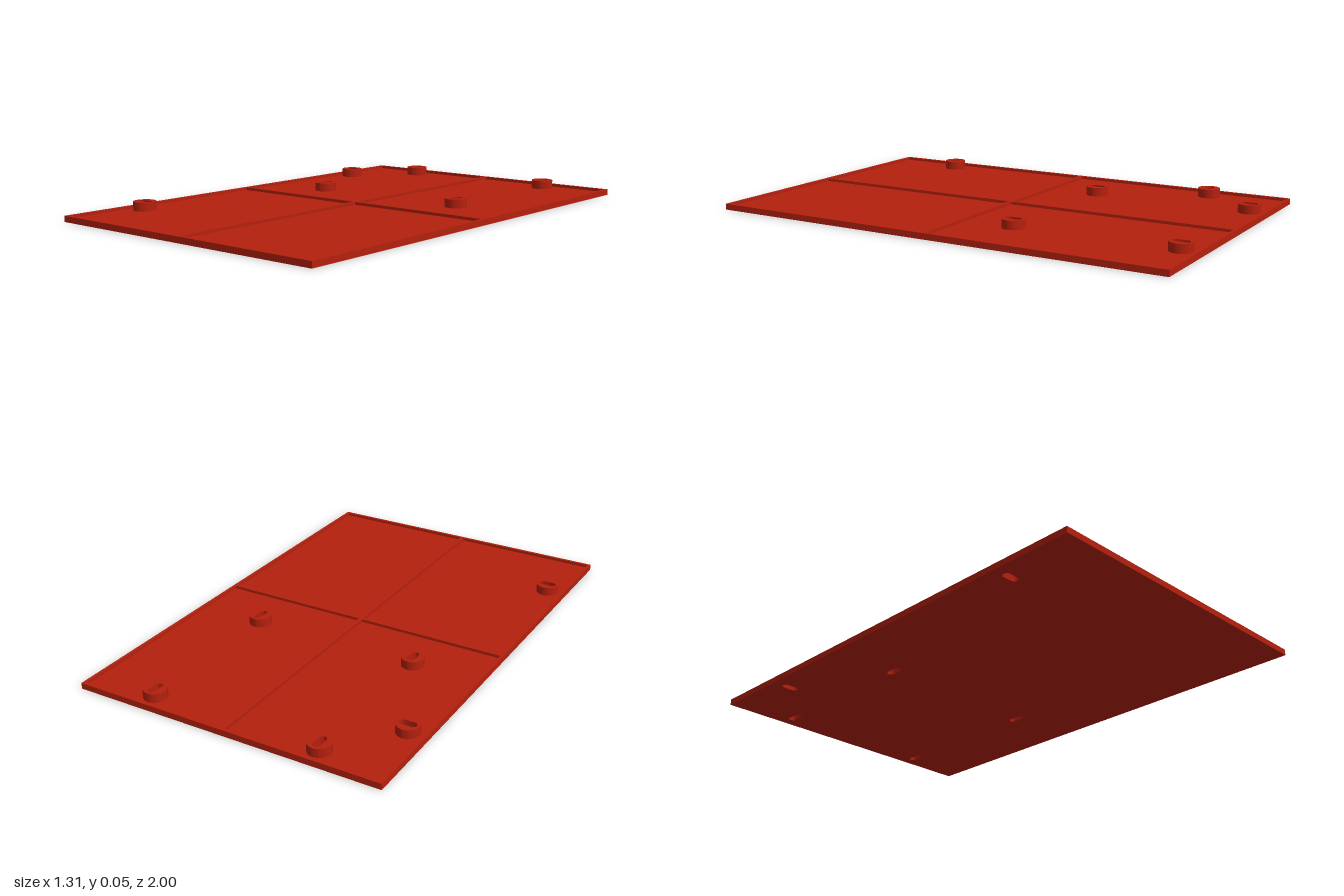
import * as THREE from 'three';
import { toCreasedNormals } from 'three/addons/utils/BufferGeometryUtils.js';

const W = 1.31, L = 2, FLOOR = 0.013, RIM_TOP = 0.025, BOSS_TOP = 0.05;
const RIM = 0.013, RIB = 0.016, BOSS_R = 0.047;

// Mounting points: x, z, and whether the slot runs along x
const mounts = [
  [-0.575, -0.663, true], [-0.575, 0.661, true],
  [-0.364, -0.92, false], [-0.364, -0.225, false],
  [0.36, -0.92, false], [0.36, -0.225, false],
];

function rect(PathType, x0, y0, x1, y1) {
  const p = new PathType();
  p.moveTo(x0, y0);
  p.lineTo(x1, y0);
  p.lineTo(x1, y1);
  p.lineTo(x0, y1);
  p.closePath();
  return p;
}

// Rounded slot outline around (x, y)
function slot(x, y, alongX) {
  const r = 0.016, h = 0.02, p = new THREE.Path();
  if (alongX) {
    p.absarc(x + h, y, r, -Math.PI / 2, Math.PI / 2);
    p.absarc(x - h, y, r, Math.PI / 2, Math.PI * 1.5);
  } else {
    p.absarc(x, y + h, r, 0, Math.PI);
    p.absarc(x, y - h, r, Math.PI, Math.PI * 2);
  }
  p.closePath();
  return p;
}

// Extrude a plan shape upward from y0 to y1 (shape y = -z)
function slab(name, shape, y0, y1, material) {
  let g = new THREE.ExtrudeGeometry(shape, { depth: y1 - y0, bevelEnabled: false, curveSegments: 20 });
  g.rotateX(-Math.PI / 2);
  g.translate(0, y0, 0);
  g = toCreasedNormals(g, 0.6);
  const mesh = new THREE.Mesh(g, material);
  mesh.name = name;
  return mesh;
}

export function createModel() {
  const model = new THREE.Group();
  model.name = 'mountingPanel';
  const red = new THREE.MeshStandardMaterial({ color: 0xb4200e });
  red.name = 'red';

  // Thin base sheet pierced by the slots
  const base = rect(THREE.Shape, -W / 2, -L / 2, W / 2, L / 2);
  for (const [x, z, alongX] of mounts) base.holes.push(slot(x, -z, alongX));
  model.add(slab('baseSheet', base, 0, FLOOR, red));

  // Raised rim and cross ribs around four shallow bays
  const frame = rect(THREE.Shape, -W / 2, -L / 2, W / 2, L / 2);
  const xs = [[-W / 2 + RIM, -RIB / 2], [RIB / 2, W / 2 - RIM]];
  const ys = [[-L / 2 + RIM, -RIB / 2], [RIB / 2, L / 2 - RIM]];
  for (const [x0, x1] of xs) {
    for (const [y0, y1] of ys) frame.holes.push(rect(THREE.Path, x0, y0, x1, y1));
  }
  model.add(slab('rimAndRibs', frame, FLOOR, RIM_TOP, red));

  // Round slotted bosses
  for (const [x, z, alongX] of mounts) {
    const boss = new THREE.Shape();
    boss.absarc(x, -z, BOSS_R, 0, Math.PI * 2);
    boss.holes.push(slot(x, -z, alongX));
    model.add(slab('slottedBoss', boss, FLOOR, BOSS_TOP, red));
  }
  return model;
}
